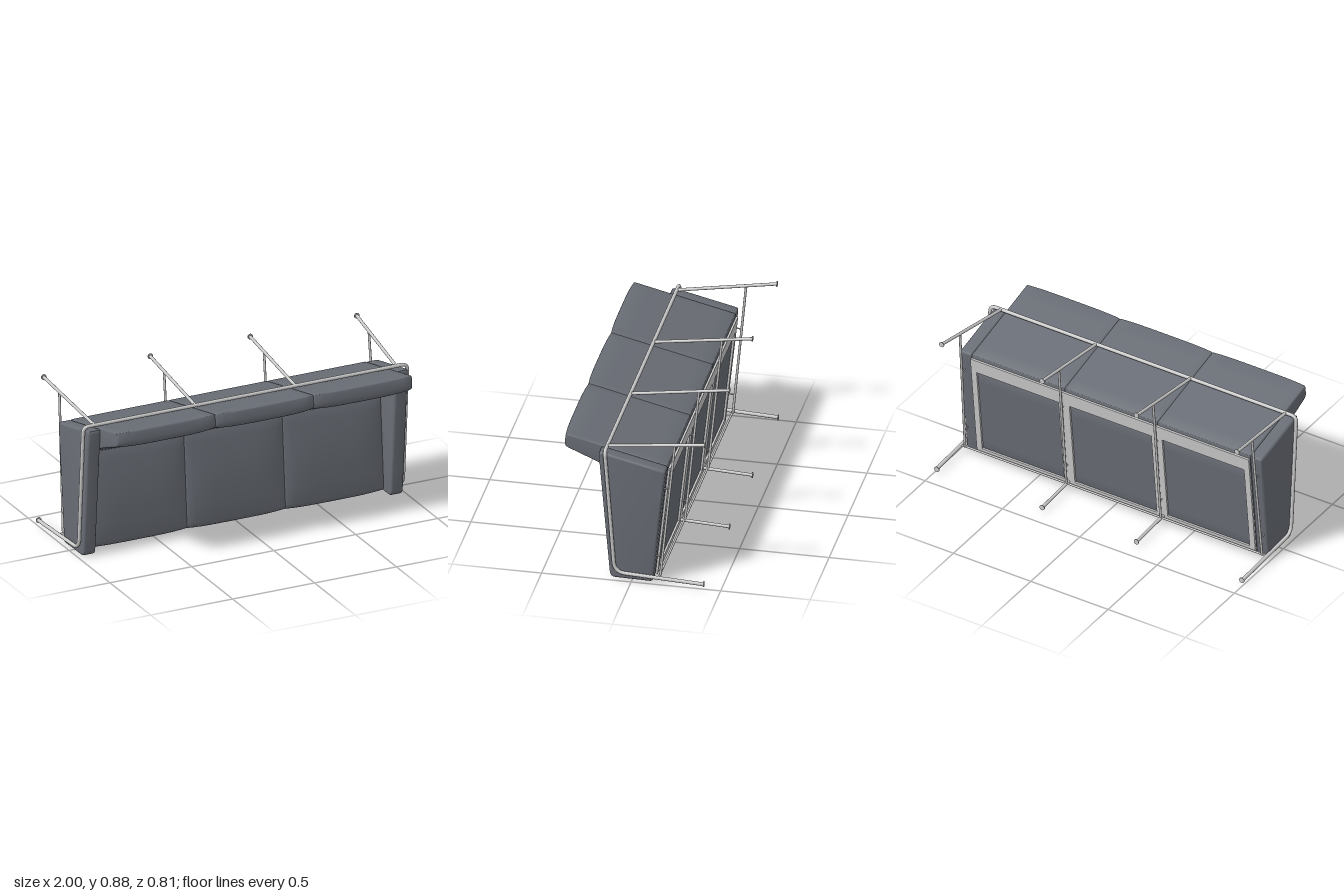
import * as THREE from 'three';
import { toCreasedNormals } from 'three/addons/utils/BufferGeometryUtils.js';

const fabric = new THREE.MeshStandardMaterial({ color: 0x696d75 });
const metal = new THREE.MeshStandardMaterial({ color: 0xcccccc });
const V = (x, y, z) => new THREE.Vector3(x, y, z);

function add(parent, name, geometry, material) {
  const mesh = new THREE.Mesh(geometry, material);
  mesh.name = name;
  parent.add(mesh);
  return mesh;
}

// Path through points whose inner corners are rounded by r
function roundedPath(points, r) {
  const path = new THREE.CurvePath();
  let from = points[0];
  for (let i = 1; i < points.length - 1; i++) {
    const p = points[i];
    const a = p.clone().add(points[i - 1].clone().sub(p).setLength(r[i - 1]));
    const b = p.clone().add(points[i + 1].clone().sub(p).setLength(r[i - 1]));
    path.add(new THREE.LineCurve3(from, a));
    path.add(new THREE.QuadraticBezierCurve3(a, p, b));
    from = b;
  }
  path.add(new THREE.LineCurve3(from, points[points.length - 1]));
  return path;
}

// Side profile of [z, y, corner radius], long edges subdivided so they can bulge
function profileShape(corners) {
  const pts = [];
  const n = corners.length;
  const ends = corners.map(([z, y, r], i) => {
    const p = new THREE.Vector2(z, y);
    const toward = (c) => p.clone().add(new THREE.Vector2(c[0] - z, c[1] - y).setLength(r));
    return [toward(corners[(i + n - 1) % n]), p, toward(corners[(i + 1) % n])];
  });
  ends.forEach(([a, p, b], i) => {
    pts.push(...new THREE.QuadraticBezierCurve(a, p, b).getPoints(4));
    const next = ends[(i + 1) % n][0];
    const cuts = Math.floor(b.distanceTo(next) / 0.08);
    for (let k = 1; k < cuts; k++) pts.push(b.clone().lerp(next, k / cuts));
  });
  return new THREE.Shape(pts);
}

// Upholstered block: profile swept along x, softened by an optional bulge rule
function upholstery(corners, width, bevel, bulge) {
  const geo = new THREE.ExtrudeGeometry(profileShape(corners), {
    depth: width - 2 * bevel, steps: bulge ? 14 : 1,
    bevelThickness: bevel, bevelSize: bevel, bevelOffset: -bevel, bevelSegments: 3,
  });
  geo.translate(0, 0, bevel - width / 2).rotateY(-Math.PI / 2);
  if (bulge) {
    const pos = geo.attributes.position;
    for (let i = 0; i < pos.count; i++) {
      const u = (2 * pos.getX(i)) / width;
      const [dy, dz] = bulge(pos.getY(i), pos.getZ(i), Math.max(0, 1 - u ** 4));
      pos.setY(i, pos.getY(i) + dy);
      pos.setZ(i, pos.getZ(i) + dz);
    }
  }
  return toCreasedNormals(geo, 0.6);
}

function rod(parent, name, a, b, radius) {
  return add(parent, name, new THREE.TubeGeometry(new THREE.LineCurve3(a, b), 1, radius, 10), metal);
}

function foot(parent, x, y) {
  const pad = add(parent, 'footPad', new THREE.CylinderGeometry(0.016, 0.016, 0.005, 16), metal);
  pad.rotation.x = Math.PI / 2;
  pad.position.set(x, y, -0.402);
}

export function createModel() {
  const group = new THREE.Group();
  group.name = 'tippedSofa';

  // Seat and back cushions, three of each
  const seat = upholstery([
    [-0.116, 0.02, 0.01], [0.045, 0.018, 0.03], [0.0, 0.61, 0.01], [-0.176, 0.61, 0.01],
  ], 0.602, 0.008, (y, z, f) => [
    y < 0.08 && z > -0.1 ? -0.012 * f * (1 - y / 0.08) : 0,
    z > -0.08 ? 0.02 * f * Math.sin(Math.PI * Math.min(1, Math.max(0, y / 0.62))) : 0,
  ]);
  const back = upholstery([
    [0.385, 0.834, 0.01], [-0.184, 0.7, 0.008], [-0.175, 0.585, 0.01],
    [0.0, 0.573, 0.02], [0.185, 0.668, 0.04], [0.395, 0.757, 0.025],
  ], 0.602, 0.008, (y, z, f) => [
    y < 0.7 + 0.235 * z - 0.02 && z > -0.1 ? -0.01 * f : 0,
    z > 0.3 ? 0.012 * f * (z - 0.3) / 0.1 : 0,
  ]);
  for (const x of [-0.6, 0, 0.6]) {
    add(group, 'seatCushion', seat, fabric).position.x = x;
    add(group, 'backCushion', back, fabric).position.x = x;
  }

  // Arms
  const arm = upholstery([
    [0.19, 0.785, 0.025], [-0.185, 0.698, 0.012], [-0.114, 0.01, 0.015], [0.124, 0.014, 0.03],
  ], 0.077, 0.012);
  for (const s of [-1, 1]) add(group, 'arm', arm, fabric).position.x = s * 0.938;

  // Tilted base frame with three openings
  const frameShape = new THREE.Shape();
  const rect = (path, x, y, w, h) =>
    path.moveTo(x, y).lineTo(x + w, y).lineTo(x + w, y + h).lineTo(x, y + h).closePath();
  rect(frameShape, -0.9, 0, 1.8, 0.664);
  for (const x of [-0.6, 0, 0.6]) {
    const hole = new THREE.Path();
    rect(hole, x - 0.265, 0.035, 0.53, 0.545);
    frameShape.holes.push(hole);
  }
  const frame = add(group, 'baseFrame',
    new THREE.ExtrudeGeometry(frameShape, { depth: 0.012, bevelEnabled: false }).translate(0, 0, -0.012), metal);
  frame.position.set(0, 0.021, -0.115);
  frame.rotation.x = -0.106;

  // One bent tube: lower legs, arm sides and the long bar across the back
  const half = [V(0.989, 0.033, -0.402), V(0.989, 0.056, 0.095), V(0.989, 0.797, 0.15)];
  const mirrored = half.map((p) => V(-p.x, p.y, p.z)).reverse();
  const loop = roundedPath([...half, ...mirrored], [0.06, 0.035, 0.035, 0.06]);
  add(group, 'outerTube', new THREE.TubeGeometry(loop, 400, 0.0105, 10), metal);

  // Legs with braces and clips; outer pairs splay slightly
  for (const s of [-1, 1]) {
    for (const [x0, x1, xb] of [[0.92, 0.955, 0.986], [0.305, 0.305, 0.305]]) {
      rod(group, 'rearLeg', V(s * x0, 0.797, 0.15), V(s * x1, 0.877, -0.402), 0.009);
      foot(group, s * x1, 0.877);
      foot(group, s * xb, 0.033);
      const top = V(s * (x0 + (x1 - x0) * 0.69), 0.85, -0.232);
      const low = V(s * (x1 > 0.9 ? 0.96 : x1), 0.047, -0.155);
      rod(group, 'brace', top, low, 0.007);
      for (const y of [0.58, 0.165]) {
        const p = top.clone().lerp(low, (0.85 - y) / 0.803);
        rod(group, 'clip', p, V(p.x, y, p.z + 0.04), 0.004);
      }
    }
    rod(group, 'frontLeg', V(s * 0.305, 0.047, -0.12), V(s * 0.305, 0.033, -0.402), 0.009);
  }
  rod(group, 'lowerRail', V(-0.985, 0.046, -0.15), V(0.985, 0.046, -0.15), 0.006);

  return group;
}
